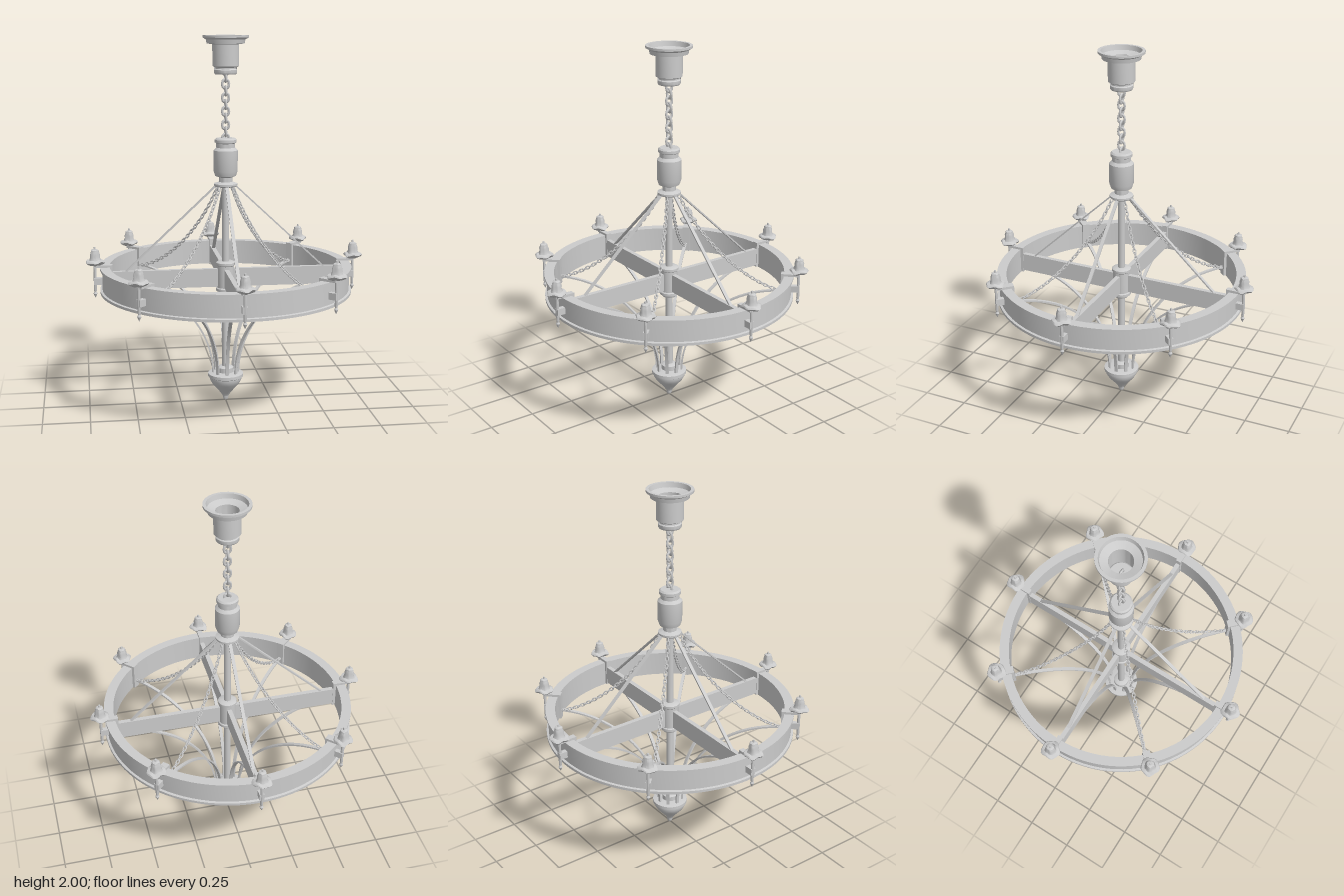
import * as THREE from 'three';
import { mergeGeometries, toCreasedNormals } from 'three/addons/utils/BufferGeometryUtils.js';

const metal = new THREE.MeshStandardMaterial({ color: 0xcccccc });
const V = (x, y, z = 0) => new THREE.Vector3(x, y, z);

function add(parent, name, geometry) {
  const mesh = new THREE.Mesh(geometry, metal);
  mesh.name = name;
  parent.add(mesh);
  return mesh;
}

// Turned part: profile of [radius, height], running upwards on the outside
function turned(profile, segments = 32) {
  const pts = profile.map(([r, y]) => new THREE.Vector2(r, y));
  return toCreasedNormals(new THREE.LatheGeometry(pts, segments), 0.6);
}

// Box given by its limits in x (radial) and y, and its width in z
function slab(x0, x1, y0, y1, width) {
  return new THREE.BoxGeometry(x1 - x0, y1 - y0, width)
    .translate((x0 + x1) / 2, (y0 + y1) / 2, 0);
}

// Flat bar following a line of points in the x-y plane
function strap(points, thickness, width) {
  const side = (s) => points.map((p, i) => {
    const a = points[Math.max(i - 1, 0)], b = points[Math.min(i + 1, points.length - 1)];
    const t = b.clone().sub(a).normalize();
    return new THREE.Vector2(p.x - t.y * s, p.y + t.x * s);
  });
  const shape = new THREE.Shape([...side(thickness / 2), ...side(-thickness / 2).reverse()]);
  const geometry = new THREE.ExtrudeGeometry(shape, { depth: width, bevelEnabled: false });
  return toCreasedNormals(geometry.translate(0, 0, -width / 2), 0.6);
}

// Oval links along a curve, each turned a quarter against the last
function chain(curve, count, halfWidth, halfLength, wire) {
  const link = new THREE.TorusGeometry(halfWidth - wire, wire, 6, 12);
  const pos = link.attributes.position;
  const stretch = halfLength - halfWidth;
  for (let i = 0; i < pos.count; i++) {
    const y = pos.getY(i);
    pos.setY(i, y + Math.max(-1, Math.min(1, y / (halfWidth - wire) * 2)) * stretch);
  }
  link.computeVertexNormals();
  const links = [];
  for (let i = 0; i < count; i++) {
    const u = (i + 0.5) / count;
    const q = new THREE.Quaternion().setFromUnitVectors(V(0, 1), curve.getTangentAt(u));
    const p = curve.getPointAt(u);
    links.push(link.clone().rotateY((i % 2) * Math.PI / 2).applyQuaternion(q).translate(p.x, p.y, p.z));
  }
  return mergeGeometries(links);
}

// Candle in a wavy wax-covered dish
function candleGeometry(seed) {
  const profile = [[0, 0.785], [0.022, 0.787], [0.044, 0.798], [0.051, 0.806], [0.047, 0.813],
    [0.031, 0.817], [0.025, 0.832], [0.026, 0.846], [0.021, 0.862], [0.02, 0.87],
    [0.014, 0.874], [0.006, 0.875], [0.005, 0.887], [0, 0.888]];
  const geometry = new THREE.LatheGeometry(profile.map(([r, y]) => new THREE.Vector2(r, y)), 24);
  const pos = geometry.attributes.position;
  for (let i = 0; i < pos.count; i++) {
    const x = pos.getX(i), z = pos.getZ(i);
    const a = Math.atan2(z, x), r = Math.hypot(x, z);
    const wave = Math.sin(5 * a + seed * 2.1) * 0.06 + Math.sin(3 * a + seed) * 0.05;
    pos.setX(i, x * (1 + wave));
    pos.setZ(i, z * (1 + wave));
    pos.setY(i, pos.getY(i) - r * wave * 0.9);
  }
  return toCreasedNormals(geometry, 0.8);
}

export function createModel() {
  const model = new THREE.Group();
  model.name = 'chandelier';

  // Hollow ceiling canopy
  add(model, 'canopy', turned([[0, 1.797], [0.056, 1.797], [0.06, 1.803], [0.06, 1.82], [0.054, 1.825],
    [0.054, 1.832], [0.07, 1.84], [0.07, 1.953], [0.1, 1.957], [0.104, 1.978], [0.122, 1.988], [0.122, 2],
    [0.106, 2], [0.1, 1.975], [0.06, 1.962], [0.06, 1.815], [0, 1.815]], 40));

  // Hanging chain
  add(model, 'hangingChain', chain(new THREE.LineCurve3(V(0, 1.44), V(0, 1.836)), 11, 0.025, 0.031, 0.007));

  // Upper hub, central rod and middle hub
  add(model, 'upperHub', turned([[0, 1.2], [0.056, 1.2], [0.063, 1.206], [0.063, 1.216], [0.045, 1.222],
    [0.036, 1.226], [0.036, 1.25], [0.056, 1.258], [0.065, 1.285], [0.065, 1.395], [0.05, 1.41],
    [0.05, 1.432], [0.058, 1.437], [0.058, 1.452], [0.05, 1.46], [0, 1.46]]));
  add(model, 'centralRod', new THREE.CylinderGeometry(0.019, 0.019, 1.06, 20).translate(0, 0.69, 0));
  add(model, 'middleHub', turned([[0, 0.61], [0.036, 0.61], [0.04, 0.622], [0.052, 0.626], [0.052, 0.64],
    [0.046, 0.645], [0.046, 0.765], [0.052, 0.77], [0.052, 0.783], [0.04, 0.79], [0, 0.79]]));

  // Bottom cup with its collar and pointed drop
  add(model, 'bottomCup', turned([[0, 0], [0.011, 0.004], [0.016, 0.016], [0.016, 0.024], [0.026, 0.04],
    [0.048, 0.068], [0.075, 0.098], [0.088, 0.122], [0.089, 0.135], [0.097, 0.14], [0.097, 0.157],
    [0.075, 0.162], [0.044, 0.164], [0.044, 0.19], [0.03, 0.198], [0, 0.198]], 36));

  // Wheel rim with a raised lip along both edges
  add(model, 'rim', turned([[0.628, 0.636], [0.68, 0.636], [0.68, 0.65], [0.668, 0.653], [0.668, 0.76],
    [0.68, 0.763], [0.68, 0.775], [0.628, 0.775], [0.628, 0.636]], 96));

  // Paths in the plane of one arm
  const lowerArc = [];
  for (let i = 0; i <= 24; i++) {
    const a = (i / 24) * Math.PI / 2;
    lowerArc.push(new THREE.Vector2(0.63 - 0.56 * Math.cos(a), 0.155 + 0.53 * Math.sin(a)));
  }
  const swag = new THREE.CatmullRomCurve3([V(0.05, 1.2), V(0.115, 1.085), V(0.2, 0.97),
    V(0.305, 0.86), V(0.42, 0.77), V(0.53, 0.71), V(0.635, 0.675)]);

  const straight = {
    spoke: slab(0.04, 0.63, 0.65, 0.75, 0.025),
    stay: strap([new THREE.Vector2(0.045, 1.212), new THREE.Vector2(0.575, 0.715)], 0.008, 0.018),
  };
  const swagChain = chain(swag, 40, 0.011, 0.0165, 0.0032);
  const arcGeometry = strap(lowerArc, 0.009, 0.018);
  const dropRod = turned([[0, 0.608], [0.005, 0.618], [0.011, 0.632], [0.006, 0.642], [0.008, 0.65],
    [0.008, 0.79], [0, 0.79]], 12);

  for (let i = 0; i < 8; i++) {
    const arm = new THREE.Group();
    arm.name = 'arm' + (i + 1);
    arm.rotation.y = i * Math.PI / 4;
    model.add(arm);

    // Board spokes with stays alternate with sagging chains
    if (i % 2 === 0) {
      add(arm, 'spoke', straight.spoke);
      add(arm, 'stay', straight.stay);
    } else {
      add(arm, 'swagChain', swagChain);
    }
    add(arm, 'lowerArc', arcGeometry);

    // Bracket clamped over the rim
    const width = i % 2 ? 0.04 : 0.03;
    add(arm, 'bracketTop', slab(0.612, 0.71, 0.775, 0.788, width));
    add(arm, 'bracketInner', slab(0.612, 0.628, 0.64, 0.78, width));
    add(arm, 'bracketOuter', slab(0.665, 0.712, 0.682, 0.718, 0.026));

    // Candle over a pointed drop rod
    add(arm, 'dropRod', dropRod).position.x = 0.706;
    add(arm, 'candle', candleGeometry(i + 1)).position.x = 0.706;
  }
  return model;
}
